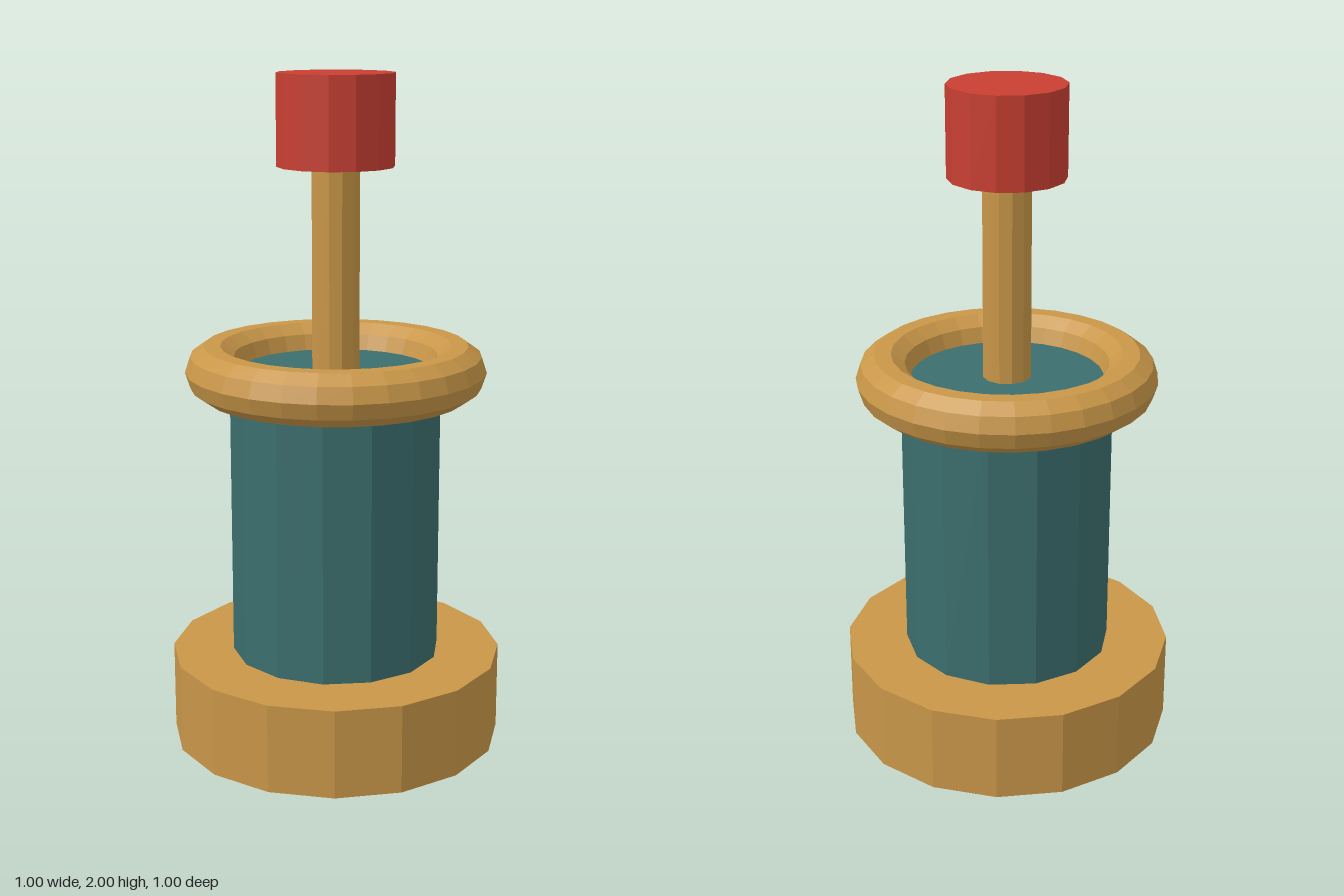
import * as THREE from 'three';

export function createModel() {
  const model = new THREE.Group();
  model.name = 'plunger';

  const material = (name, color) => {
    const m = new THREE.MeshStandardMaterial({ color, flatShading: true });
    m.name = name;
    return m;
  };
  const brass = material('brass', 0xc89648);
  const teal = material('teal', 0x3c6e6e);
  const red = material('red', 0xc83f32);

  // Upright faceted cylinder between two heights
  const column = (name, radius, bottom, top, sides, mat) => {
    const geometry = new THREE.CylinderGeometry(radius, radius, top - bottom, sides);
    const mesh = new THREE.Mesh(geometry, mat);
    mesh.name = name;
    mesh.position.y = (bottom + top) / 2;
    model.add(mesh);
  };

  column('base', 0.5, 0, 0.267, 16, brass);
  column('body', 0.315, 0.267, 1.137, 14, teal);
  column('rod', 0.072, 1.13, 1.735, 12, brass);
  column('knob', 0.172, 1.735, 2, 14, red);

  // Rounded collar around the top rim of the body
  const collar = new THREE.Mesh(new THREE.TorusGeometry(0.366, 0.08, 10, 28), brass);
  collar.name = 'collar';
  collar.rotation.x = -Math.PI / 2;
  collar.position.y = 1.137;
  model.add(collar);

  return model;
}
